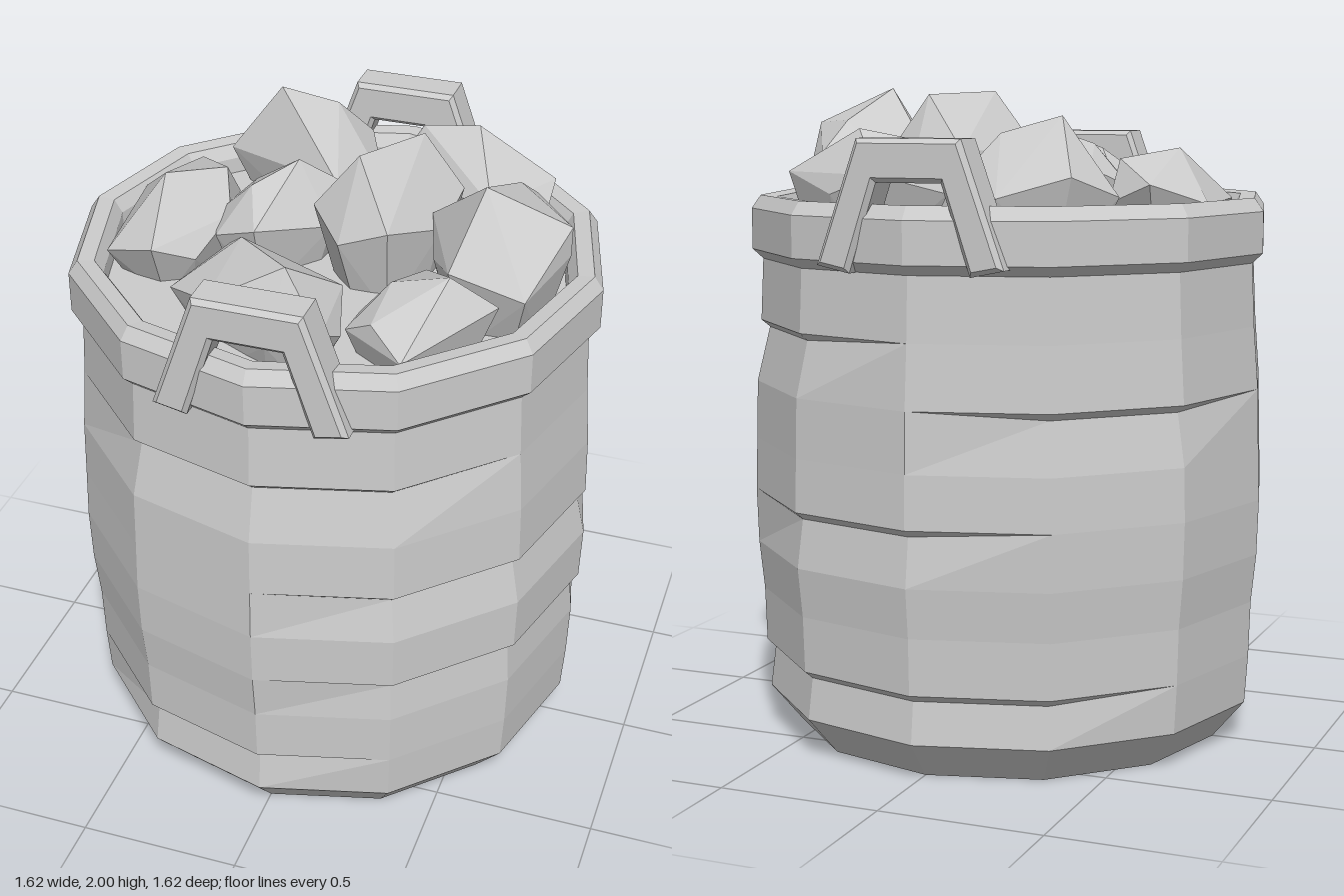
import * as THREE from 'three';
import { ConvexGeometry } from 'three/addons/geometries/ConvexGeometry.js';

const SIDES = 12;
const material = new THREE.MeshStandardMaterial({ color: 0xcccccc, flatShading: true });

function add(parent, name, geometry) {
  const mesh = new THREE.Mesh(geometry, material);
  mesh.name = name;
  parent.add(mesh);
  return mesh;
}

// Twelve-sided sack wall; a fold is a ledge where the cloth below is tucked in.
// Columns run from the front (0) by 30 degrees towards +x.
function sackGeometry() {
  const levels = [
    { y: 0, r: 0.675 },
    { y: 0.12, r: 0.775 },
    { y: 0.27, r: 0.785, folds: [11, 0, 4, 5, 6, 7] },
    { y: 0.44, r: 0.79 },
    { y: 0.59, r: 0.805, folds: [1, 2, 3] },
    { y: 0.76, r: 0.81, folds: [5, 6] },
    { y: 0.92, r: 0.805, folds: [1, 2, 3] },
    { y: 1.1, r: 0.8, folds: [7, 8] },
    { y: 1.29, r: 0.785, folds: [11, 0, 1, 4, 5] },
    { y: 1.5, r: 0.775 },
  ];
  const position = [];
  const index = [];
  let rings = 0;
  const ring = (place) => {
    for (let i = 0; i < SIDES; i++) {
      const a = (i / SIDES) * Math.PI * 2;
      const [r, y] = place(i);
      position.push(r * Math.sin(a), y, r * Math.cos(a));
    }
    rings++;
  };
  for (const { y, r, folds } of levels) {
    if (folds) ring((i) => (folds.includes(i) ? [r - 0.026, y - 0.022] : [r, y]));
    ring(() => [r, y]);
  }
  for (let k = 0; k < rings - 1; k++) {
    for (let i = 0; i < SIDES; i++) {
      const a = k * SIDES + i;
      const b = k * SIDES + ((i + 1) % SIDES);
      index.push(a, b, b + SIDES, a, b + SIDES, a + SIDES);
    }
  }
  // flat base
  for (let i = 1; i < SIDES - 1; i++) index.push(0, i + 1, i);
  const geometry = new THREE.BufferGeometry();
  geometry.setAttribute('position', new THREE.Float32BufferAttribute(position, 3));
  geometry.setIndex(index);
  const flat = geometry.toNonIndexed();
  flat.computeVertexNormals();
  return flat;
}

// Thick chamfered rim band
function rimGeometry() {
  const profile = [[0.765, 1.47], [0.808, 1.51], [0.808, 1.635], [0.78, 1.675], [0.73, 1.67], [0.705, 1.63], [0.7, 1.5]];
  return new THREE.LatheGeometry(profile.map(([r, y]) => new THREE.Vector2(r, y)), SIDES);
}

// A-shaped grip: two splayed legs under a short bar
function handleGeometry() {
  const half = [[0.15, 1.845], [0.27, 1.51], [0.195, 1.495], [0.11, 1.75]];
  const outline = [...half, ...half.map(([x, y]) => [-x, y]).reverse()];
  const shape = new THREE.Shape(outline.map(([x, y]) => new THREE.Vector2(x, y)));
  return new THREE.ExtrudeGeometry(shape, {
    depth: 0.1, bevelEnabled: true, bevelSegments: 1, bevelSize: 0.014, bevelThickness: 0.015,
  });
}

// Faceted lump: widest along its outline [x, z], tapering to a base, with crest points [x, y, z] on top
function rockGeometry(outline, crests, girth) {
  const cx = outline.reduce((s, p) => s + p[0], 0) / outline.length;
  const cz = outline.reduce((s, p) => s + p[1], 0) / outline.length;
  const points = crests.map((p) => new THREE.Vector3(...p));
  outline.forEach(([x, z], i) => {
    points.push(new THREE.Vector3(x, girth + (i % 2 ? 0.03 : -0.03), z));
    points.push(new THREE.Vector3(cx + (x - cx) * 0.65, 1.5, cz + (z - cz) * 0.65));
  });
  return new ConvexGeometry(points);
}

export function createModel() {
  const model = new THREE.Group();
  model.name = 'sackOfRocks';

  add(model, 'sack', sackGeometry());
  add(model, 'rim', rimGeometry());

  // Level surface between the rocks
  const filling = add(model, 'filling', new THREE.CircleGeometry(0.715, SIDES));
  filling.rotation.x = -Math.PI / 2;
  filling.position.y = 1.58;

  // Front and back grips
  for (const side of [1, -1]) {
    const grip = new THREE.Group();
    grip.name = side > 0 ? 'frontHandle' : 'backHandle';
    add(grip, 'grip', handleGeometry()).position.z = 0.665;
    grip.rotation.y = side > 0 ? 0 : Math.PI;
    model.add(grip);
  }

  // Heap of rocks
  const rocks = new THREE.Group();
  rocks.name = 'rocks';
  model.add(rocks);
  const rock = (name, girth, outline, crests) => add(rocks, name, rockGeometry(outline, crests, girth));

  rock('backRightRock', 1.72,
    [[-0.5, -0.42], [-0.41, -0.57], [-0.21, -0.64], [-0.07, -0.56], [0.04, -0.33], [-0.06, -0.17], [-0.32, -0.34]],
    [[-0.33, 1.92, -0.43], [-0.16, 1.87, -0.48]]);
  rock('backLeftRock', 1.72,
    [[0.03, -0.43], [0.16, -0.64], [0.35, -0.56], [0.56, -0.42], [0.56, -0.32], [0.42, -0.18], [0.07, -0.38]],
    [[0.31, 1.88, -0.44], [0.13, 1.85, -0.45]]);
  rock('rightRock', 1.69,
    [[-0.68, -0.14], [-0.54, -0.27], [-0.39, -0.2], [-0.32, 0.06], [-0.36, 0.25], [-0.46, 0.34], [-0.63, 0.28]],
    [[-0.53, 1.82, 0.05], [-0.39, 1.79, -0.1]]);
  rock('middleRightRock', 1.73,
    [[-0.38, 0.02], [-0.3, -0.11], [-0.14, -0.19], [0, -0.15], [-0.02, 0], [-0.19, 0.21], [-0.33, 0.16]],
    [[-0.14, 1.88, -0.05], [-0.25, 1.83, 0.06]]);
  rock('middleLeftRock', 1.78,
    [[0.01, -0.1], [0.07, -0.23], [0.23, -0.25], [0.34, -0.16], [0.32, 0], [0.21, 0.19], [0.06, 0.19], [-0.05, 0.08]],
    [[0.09, 1.99, 0.08], [0.22, 1.98, -0.14]]);
  rock('leftRock', 1.77,
    [[0.33, -0.17], [0.55, -0.22], [0.63, -0.15], [0.73, 0.12], [0.65, 0.32], [0.43, 0.33], [0.34, 0.16], [0.29, 0]],
    [[0.49, 2, 0.17], [0.73, 1.89, 0.12], [0.53, 1.9, -0.08]]);
  rock('frontRock', 1.69,
    [[-0.37, 0.42], [-0.26, 0.22], [-0.1, 0.19], [0.13, 0.35], [0.18, 0.52], [0.16, 0.63], [0, 0.64], [-0.21, 0.55]],
    [[-0.18, 1.81, 0.33], [0.02, 1.85, 0.52]]);
  rock('frontLeftRock', 1.69,
    [[0.19, 0.37], [0.33, 0.19], [0.46, 0.22], [0.58, 0.33], [0.38, 0.61], [0.27, 0.53], [0.18, 0.48]],
    [[0.45, 1.82, 0.38], [0.28, 1.77, 0.37]]);

  return model;
}
